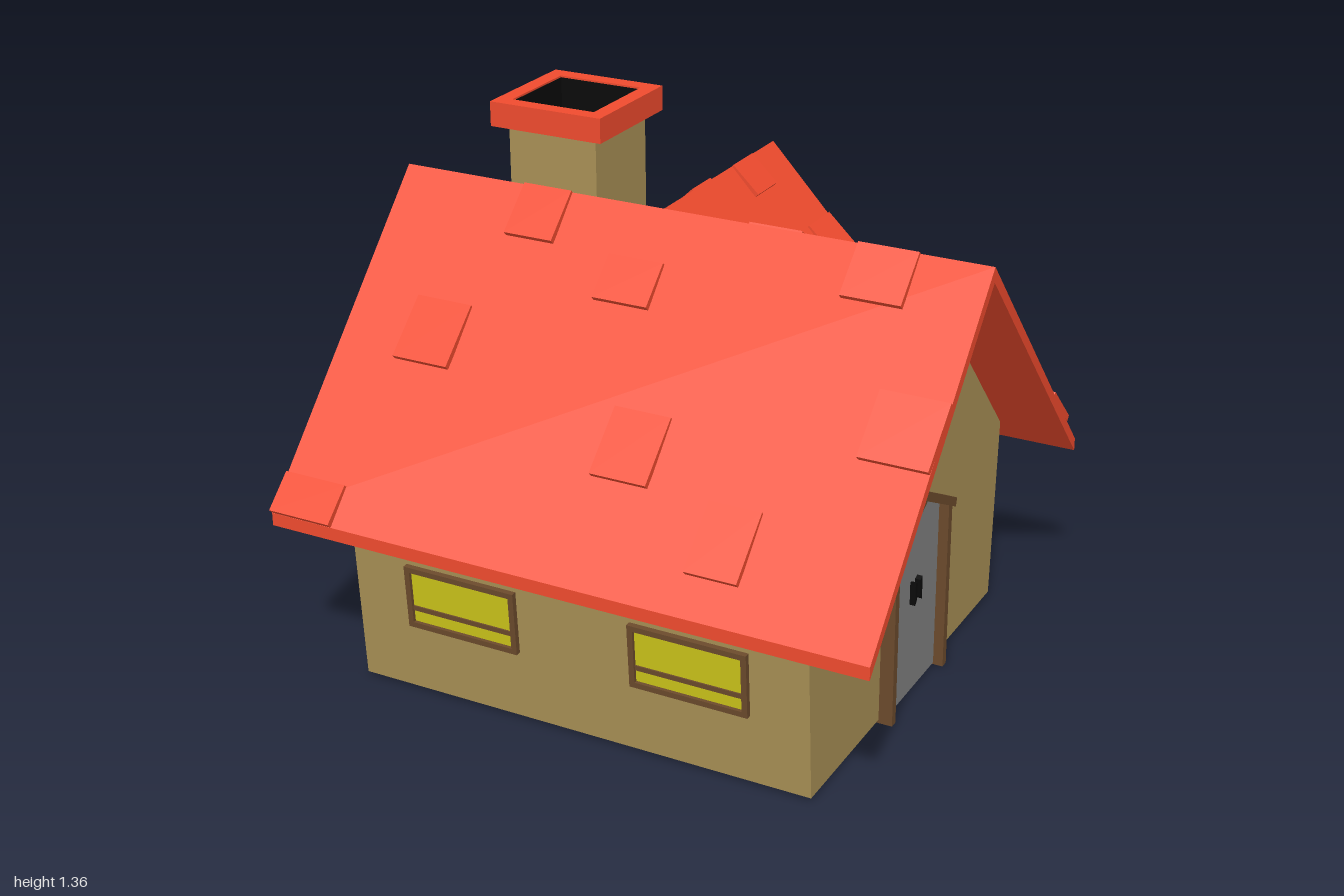
import * as THREE from 'three';

const mat = (color, side = THREE.FrontSide) => new THREE.MeshStandardMaterial({ color, side, flatShading: true });
const WALL = mat(0xa89055), ROOF = mat(0xf04b2e), WOOD = mat(0x6b4a2c);
const GLASS = mat(0xccc41a), DOOR = mat(0x808080), DARK = mat(0x0a0a0a);

const RIDGE = 1.2, SLOPE = 0.725 / 0.675, PITCH = Math.atan(SLOPE);
const HALF_ROOF = 0.825, HALF_WALL = 0.6375;

function add(parent, name, geometry, material, x = 0, y = 0, z = 0) {
  const mesh = new THREE.Mesh(geometry, material);
  mesh.name = name;
  mesh.position.set(x, y, z);
  parent.add(mesh);
  return mesh;
}

function group(parent, name) {
  const g = new THREE.Group();
  g.name = name;
  parent.add(g);
  return g;
}

const vec = (pts) => pts.map(([x, y]) => new THREE.Vector2(x, y));
const rect = (x0, y0, x1, y1) => [[x0, y0], [x1, y0], [x1, y1], [x0, y1]];
const box = (w, h, d) => new THREE.BoxGeometry(w, h, d);

// Extruded outline with an optional hole
function plate(pts, depth, hole) {
  const shape = new THREE.Shape(vec(pts));
  if (hole) shape.holes.push(new THREE.Path(vec(hole)));
  return new THREE.ExtrudeGeometry(shape, { depth, bevelEnabled: false });
}

// Prism running along x, centred
function prism(pts, length) {
  return plate(pts, length).translate(0, 0, -length / 2).rotateY(Math.PI / 2);
}

// Two-pane window lying against a wall
function addWindow(parent, x) {
  const g = group(parent, 'window');
  g.position.x = x;
  const w = 0.16, h = 0.0875, t = 0.015;
  add(g, 'windowFrame', plate(rect(-w, -h, w, h), 0.024, rect(-w + t, -h + t, w - t, h - t)), WOOD, 0, 0, -0.01);
  add(g, 'windowPane', box(2 * w - t, 2 * h - t, 0.01), GLASS);
  add(g, 'windowBar', box(2 * w - t, 0.013, 0.018), WOOD, 0, -0.033, 0);
}

// Door and attic window of one gable end; z = 0 is the wall face
function addGable(parent) {
  const g = group(parent, 'gableEnd');
  add(g, 'door', plate([[-0.16, 0.005], [0.16, 0.005], [0.16, 0.47], [0, 0.56], [-0.16, 0.47]], 0.014), DOOR, 0, 0, -0.004);
  for (const s of [-1, 1]) {
    add(g, 'doorPost', box(0.022, 0.48, 0.05), WOOD, s * 0.165, 0.24, 0.012);
    add(g, 'doorHandle', plate([[0.008, 0.325], [0.022, 0.33], [0.022, 0.265], [0.012, 0.275]]
      .map(([x, y]) => [s * x, y]), 0.025), DARK);
  }
  add(g, 'doorHood', plate([[-0.2, 0.475], [-0.193, 0.452], [0, 0.553], [0.193, 0.452], [0.2, 0.475], [0, 0.58]], 0.05), WOOD, 0, 0, -0.01);
  const outer = [[0, 1.045], [-0.115, 0.925], [-0.115, 0.735], [0, 0.765], [0.115, 0.735], [0.115, 0.925]];
  const inner = [[0, 1.015], [-0.099, 0.915], [-0.099, 0.76], [0, 0.787], [0.099, 0.76], [0.099, 0.915]];
  add(g, 'atticFrame', plate(outer, 0.035, inner), WOOD, 0, 0, -0.01);
  add(g, 'atticPane', plate(inner, 0.012), GLASS, 0, 0, -0.004);
  return g;
}

// Raised tiles: start and end along the ridge, then distances from the ridge
const FRONT_TILES = [
  [-0.825, -0.645, 0.6, 0.675], [-0.645, -0.485, 0.24, 0.36], [-0.16, -0.005, 0.1, 0.185],
  [0, 0.155, 0.36, 0.484], [0.32, 0.46, 0.48, 0.605], [0.645, 0.825, 0.24, 0.36],
  [-0.465, -0.325, 0, 0.1], [0.475, 0.635, 0, 0.1],
];
const BACK_TILES = [
  [0.175, 0.32, 0.005, 0.115], [0.475, 0.64, 0.25, 0.37], [0.64, 0.825, 0.485, 0.6],
  [-0.155, -0.005, 0.485, 0.6], [-0.825, -0.655, 0.365, 0.49],
];

function addTiles(parent, tiles) {
  const g = group(parent, 'roofTiles');
  for (const [x0, x1, d0, d1] of tiles) {
    const d = (d0 + d1) / 2;
    const tile = add(g, 'roofTile', box(x1 - x0, 0.016, (d1 - d0) / Math.cos(PITCH)), ROOF,
      (x0 + x1) / 2, RIDGE - d * SLOPE + 0.004, d + 0.003);
    tile.rotation.x = PITCH - 0.06;
  }
  return g;
}

// Complete gabled house, ridge along x
function makeHouse(name) {
  const house = new THREE.Group();
  house.name = name;
  add(house, 'walls', prism([[-0.57, 0.01], [0.57, 0.01], [0.6, 0.515], [0, 1.165], [-0.6, 0.515]], 2 * HALF_WALL), WALL);
  add(house, 'roof', prism([[0, RIDGE], [-0.675, 0.475], [-0.675, 0.44], [0, 1.16], [0.675, 0.44], [0.675, 0.475]], 2 * HALF_ROOF), ROOF);
  addTiles(house, FRONT_TILES);
  addTiles(house, BACK_TILES).scale.z = -1;
  for (const s of [1, -1]) {
    const gable = addGable(house);
    gable.rotation.y = s * Math.PI / 2;
    gable.position.x = s * HALF_WALL;
    // Side windows lean outwards with the wall
    const side = group(house, 'sideWindows');
    side.rotation.order = 'YXZ';
    side.rotation.set(0.06, s > 0 ? 0 : Math.PI, 0);
    side.position.set(0, 0.2875, s * 0.587);
    for (const x of [-0.32, 0.32]) addWindow(side, x);
  }
  return house;
}

// Hollow square chimney with a projecting cap
function makeChimney() {
  const g = new THREE.Group();
  g.name = 'chimney';
  const ring = (r, hole, h) => plate(rect(-r, -r, r, r), h, rect(-hole, -hole, hole, hole)).rotateX(-Math.PI / 2);
  add(g, 'chimneyShaft', ring(0.132, 0.124, 0.7), WALL, 0, 0.6, 0);
  add(g, 'chimneyCap', ring(0.167, 0.124, 0.068), ROOF, 0, 1.287, 0);
  add(g, 'chimneyFlue', ring(0.125, 0.122, 0.745), DARK, 0, 0.605, 0);
  g.position.set(-0.437, 0, 0.01);
  return g;
}

export function createModel() {
  const model = new THREE.Group();
  model.name = 'cottage';
  const main = makeHouse('mainHouse');
  main.position.set(0.055, 0, 0.322);
  // Smaller wing at a right angle
  const wing = makeHouse('rearWing');
  wing.scale.setScalar(0.7875);
  wing.rotation.y = Math.PI / 2;
  wing.position.set(-0.35, 0, -0.35);
  model.add(main, wing, makeChimney());
  return model;
}
